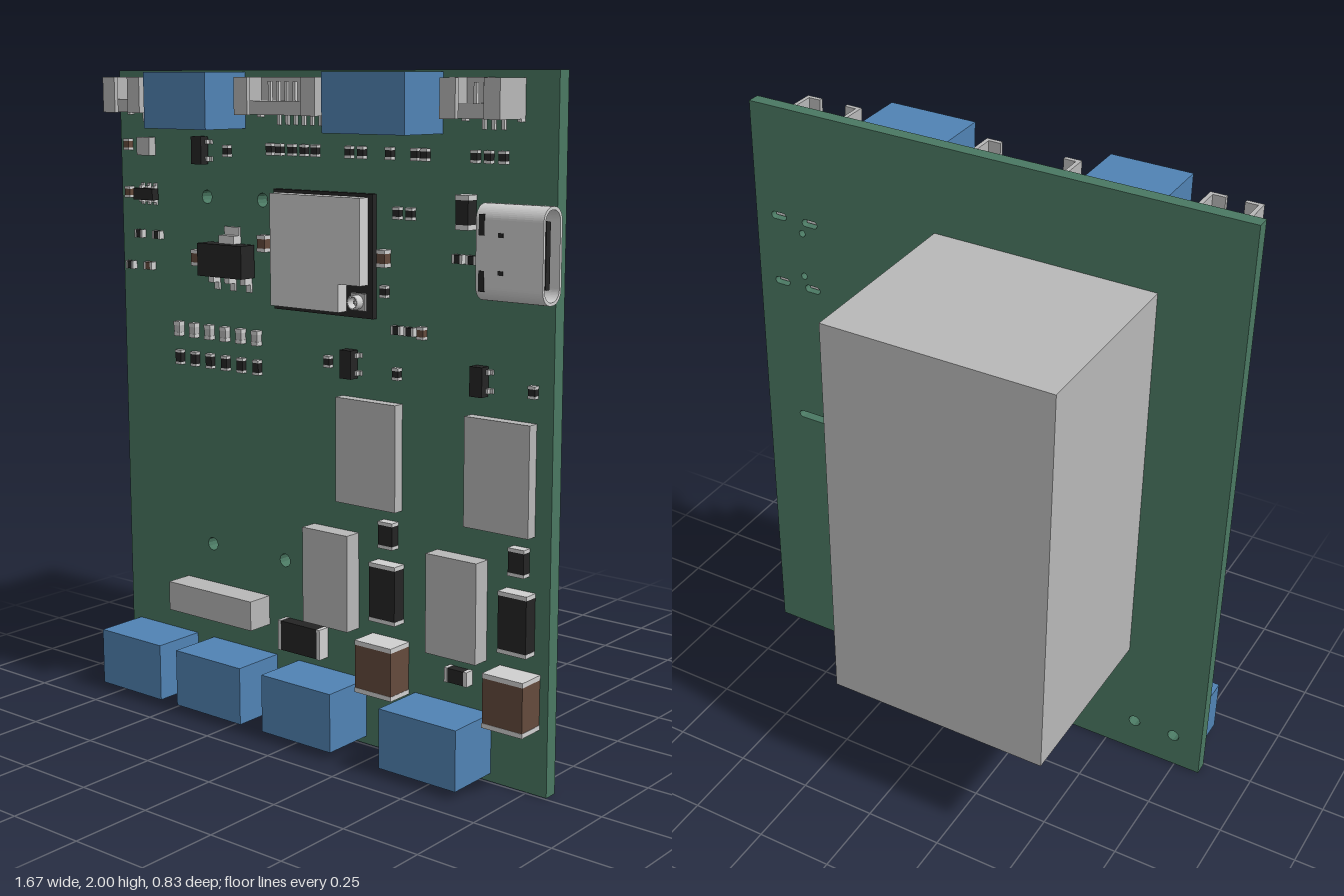
import * as THREE from 'three';

const mat = (name, color) => {
  const m = new THREE.MeshStandardMaterial({ color });
  m.name = name;
  return m;
};

export function createModel() {
  const root = new THREE.Group();
  root.name = 'circuitBoard';
  const green = mat('boardGreen', 0x4a7862);
  const blue = mat('terminalBlue', 0x5083b4);
  const gray = mat('plainGray', 0xb8b8b8);
  const silver = mat('metalSilver', 0xd0d0d0);
  const black = mat('packageBlack', 0x242424);
  const brown = mat('ceramicBrown', 0x644a3c);
  const Z = 0.243; // front face of the board
  const BACK = 0.2;

  const add = (name, geo, m, parent = root) => {
    const mesh = new THREE.Mesh(geo, m);
    mesh.name = name;
    parent.add(mesh);
    return mesh;
  };
  // box from its limits
  const box = (name, x0, x1, y0, y1, z0, z1, m, parent) => {
    const g = new THREE.BoxGeometry(x1 - x0, y1 - y0, z1 - z0);
    g.translate((x0 + x1) / 2, (y0 + y1) / 2, (z0 + z1) / 2);
    return add(name, g, m, parent);
  };
  const group = (name, x = 0, y = 0) => {
    const g = new THREE.Group();
    g.name = name;
    g.position.set(x, y, 0);
    root.add(g);
    return g;
  };
  const roundRect = (C, w, h, r, x = 0, y = 0) => {
    const s = new C();
    const a = w / 2 - r, b = h / 2 - r;
    s.absarc(x + a, y + b, r, 0, Math.PI / 2);
    s.absarc(x - a, y + b, r, Math.PI / 2, Math.PI);
    s.absarc(x - a, y - b, r, Math.PI, Math.PI * 1.5);
    s.absarc(x + a, y - b, r, Math.PI * 1.5, Math.PI * 2);
    s.closePath();
    return s;
  };

  // Board with mounting, terminal and slot holes
  const outline = new THREE.Shape([
    [-0.836, 0], [0.815, 0], [0.815, 2], [-0.836, 2],
  ].map(([x, y]) => new THREE.Vector2(x, y)));
  const terminals = [[-0.8, -0.535], [-0.463, -0.19], [-0.1, 0.17], [0.353, 0.625]];
  const hole = (x, y, r) => outline.holes.push(new THREE.Path().absarc(x, y, r, 0, Math.PI * 2, true));
  const slot = (x, y, w, h) => outline.holes.push(roundRect(THREE.Path, w, h, h * 0.49, x, y));
  [[-0.46, 1.618], [-0.23, 1.618], [-0.46, 0.516], [-0.153, 0.516]].forEach(([x, y]) => hole(x, y, 0.021));
  terminals.forEach(([a, b]) => [-0.07, 0.07].forEach((d) => hole((a + b) / 2 + d, 0.12, 0.02)));
  for (const y of [1.405, 1.635]) {
    slot(0.73, y, 0.055, 0.024);
    slot(0.615, y, 0.055, 0.024);
  }
  [1.445, 1.595].forEach((y) => hole(0.645, y, 0.011));
  [0.168, 0.625].forEach((x) => slot(x, 0.915, 0.135, 0.025));
  const boardGeo = new THREE.ExtrudeGeometry(outline, { depth: Z - BACK, bevelEnabled: false, curveSegments: 6 });
  boardGeo.translate(0, 0, BACK);
  add('board', boardGeo, green);

  // Large block on the back
  box('rearBlock', -0.56, 0.165, 0.415, 1.72, -0.415, BACK, gray);

  // Blue terminal blocks
  terminals.forEach(([a, b]) => box('bottomTerminal', a, b, 0.025, 0.205, Z, 0.415, blue));
  [[-0.55, -0.295], [0.15, 0.44]].forEach(([a, b]) => box('topTerminal', a, b, 1.828, 1.995, Z, 0.415, blue));

  // Plain grey packages
  [[0.08, 0.302], [0.545, 0.762]].forEach(([a, b]) => box('largeChip', a, b, 0.745, 1.06, Z, 0.277, gray));
  [[-0.034, 0.14], [0.43, 0.606]].forEach(([a, b]) => box('tallChip', a, b, 0.358, 0.653, Z, 0.298, gray));
  box('headerStrip', -0.574, -0.22, 0.297, 0.39, Z, 0.33, gray);
  box('smallSensor', -0.738, -0.682, 1.738, 1.794, Z, 0.27, gray);

  // Two-terminal part: body with metal end caps along its long side
  const passive = (name, x, y, w, h, t, m, cap = 0.008) => {
    const g = group(name, x, y);
    const vertical = h > w;
    const L = (vertical ? h : w) / 2, S = (vertical ? w : h) / 2;
    const part = (n, a, b, s, top, mm) => (vertical
      ? box(n, -s, s, a, b, Z, top, mm, g)
      : box(n, a, b, -s, s, Z, top, mm, g));
    part('body', -L + cap, L - cap, S - 0.001, Z + t - 0.001, m);
    part('endCap', -L, -L + cap, S, Z + t, silver);
    part('endCap', L - cap, L, S, Z + t, silver);
  };
  [0.262, 0.72].forEach((x) => {
    passive('bulkCapacitor', x, 0.275, 0.136, 0.16, 0.087, brown, 0.014);
    passive('powerDiode', x, 0.497, 0.096, 0.178, 0.045, black, 0.012);
    passive('gateResistor', x, 0.67, 0.054, 0.08, 0.03, black, 0.01);
  });
  passive('senseResistor', -0.066, 0.288, 0.168, 0.095, 0.04, black, 0.012);
  passive('fuse', 0.519, 0.297, 0.08, 0.044, 0.03, black, 0.012);
  passive('clampDiode', 0.534, 1.62, 0.044, 0.095, 0.04, black, 0.014);

  // Small resistors and capacitors
  const upright = [[-0.365, 1.76], [0.243, 1.38], [0.29, 1.605], [0.336, 1.605],
    [0.032, 1.157], [0.288, 1.147], [0.754, 1.147]];
  [-0.188, -0.151, -0.103, -0.056, -0.013, 0.114, 0.161, 0.262, 0.352, 0.386, 0.556, 0.6, 0.648]
    .forEach((x) => upright.push([x, 1.77]));
  upright.forEach(([x, y]) => passive('resistor', x, y, 0.024, 0.035, 0.018, black));
  [[-0.75, 1.49], [-0.67, 1.49], [-0.794, 1.388], [0.29, 1.273], [0.336, 1.273], [0.503, 1.49], [0.55, 1.49]]
    .forEach(([x, y]) => passive('resistor', x, y, 0.034, 0.026, 0.018, black, 0.007));
  [[-0.794, 1.77], [-0.794, 1.62], [0.378, 1.273]]
    .forEach(([x, y]) => passive('capacitor', x, y, 0.025, 0.036, 0.02, brown));
  passive('capacitor', -0.709, 1.39, 0.036, 0.025, 0.02, brown);
  [[-0.492, 1.43], [-0.214, 1.49], [0.243, 1.475]]
    .forEach(([x, y]) => passive('capacitor', x, y, 0.032, 0.05, 0.028, brown, 0.011));
  for (let i = 0; i < 6; i++) {
    const x = -0.582 + i * 0.066;
    passive('rowResistor', x, 1.109, 0.026, 0.046, 0.018, black);
    passive('rowLamp', x, 1.2, 0.026, 0.046, 0.022, gray, 0.012);
  }

  // Transistor packages with bent legs: pins are [x, y, half width, half height]
  const leaded = (name, x, y, w, h, top, pins) => {
    const g = group(name, x, y);
    box('body', -w / 2, w / 2, -h / 2, h / 2, Z + 0.006, top, black, g);
    pins.forEach(([px, py, a, b]) => {
      const out = Math.abs(px) > w / 2 ? [Math.sign(px), 0] : [0, Math.sign(py)];
      box('foot', px - a, px + a, py - b, py + b, Z, Z + 0.007, silver, g);
      const k = 0.5; // raised shoulder next to the body
      const sx = px - out[0] * a * k, sy = py - out[1] * b * k;
      const sa = out[0] ? a * k : a, sb = out[1] ? b * k : b;
      box('shoulder', sx - sa, sx + sa, sy - sb, sy + sb, Z + 0.007, (Z + top) / 2, silver, g);
    });
  };
  leaded('regulator', -0.352, 1.432, 0.182, 0.1, 0.308,
    [[0, 0.075, 0.031, 0.025], [-0.066, -0.072, 0.01, 0.024], [0, -0.072, 0.01, 0.024], [0.066, -0.072, 0.01, 0.024]]);
  const threeLegs = [[-0.028, 0, 0.008, 0.007], [0.028, 0.026, 0.008, 0.007], [0.028, -0.026, 0.008, 0.007]];
  [[0.12, 1.16], [0.584, 1.16], [-0.468, 1.76]]
    .forEach(([x, y]) => leaded('transistor', x, y, 0.042, 0.084, 0.28, threeLegs));
  const sixLegs = [];
  for (const x of [-0.028, 0, 0.028]) for (const y of [-0.026, 0.026]) sixLegs.push([x, y, 0.006, 0.008]);
  leaded('protectionChip', -0.71, 1.617, 0.085, 0.036, 0.275, sixLegs);

  // Radio module: dark base, notched metal shield, coaxial socket
  box('moduleBase', -0.17, 0.207, 1.298, 1.655, Z, 0.26, black);
  const shield = new THREE.Shape([
    [-0.152, 1.313], [0.11, 1.313], [0.11, 1.395], [0.19, 1.395], [0.19, 1.645], [-0.152, 1.645],
  ].map(([x, y]) => new THREE.Vector2(x, y)));
  const shieldGeo = new THREE.ExtrudeGeometry(shield, { depth: 0.038, bevelEnabled: false });
  shieldGeo.translate(0, 0, 0.26);
  add('moduleShield', shieldGeo, silver);
  const coax = group('coaxSocket', 0.158, 1.345);
  box('coaxBase', -0.027, 0.027, -0.025, 0.025, 0.26, 0.268, gray, coax);
  const ring = [[0.017, 0], [0.021, 0], [0.021, 0.024], [0.015, 0.024], [0.015, 0]]
    .map(([r, y]) => new THREE.Vector2(r, y));
  const ringMesh = add('coaxRing', new THREE.LatheGeometry(ring, 16).rotateX(Math.PI / 2), silver, coax);
  ringMesh.position.z = 0.268;
  box('coaxPin', -0.004, 0.004, -0.004, 0.004, 0.268, 0.285, silver, coax);

  // Side port: rounded metal shell open towards +x
  const port = group('sidePort', 0, 1.522);
  const sideways = (name, shape, x0, x1, m) => {
    const g = new THREE.ExtrudeGeometry(shape, { depth: x1 - x0, bevelEnabled: false, curveSegments: 6 });
    g.rotateY(Math.PI / 2).translate(x0, 0, 0.295);
    return add(name, g, m, port);
  };
  const shell = roundRect(THREE.Shape, 0.088, 0.26, 0.04);
  shell.holes.push(roundRect(THREE.Path, 0.07, 0.242, 0.032));
  sideways('portShell', shell, 0.622, 0.836, silver);
  sideways('portCore', roundRect(THREE.Shape, 0.072, 0.244, 0.033), 0.624, 0.72, black);
  sideways('portTongue', roundRect(THREE.Shape, 0.02, 0.18, 0.004), 0.72, 0.822, black);
  for (const s of [-1, 1]) {
    box('portSlot', 0.632, 0.65, s * 0.075 - 0.028, s * 0.075 + 0.028, 0.336, 0.3405, black, port);
    box('portDimple', 0.694, 0.71, s * 0.05 - 0.006, s * 0.05 + 0.006, 0.336, 0.3405, black, port);
    for (const x of [0.615, 0.73]) {
      box('portLeg', x - 0.02, x + 0.02, s * 0.115 - 0.007, s * 0.115 + 0.007, 0.215, 0.285, silver, port);
    }
  }
  for (let i = 0; i < 12; i++) {
    const y = -0.094 + i * 0.017;
    box('portPin', 0.608, 0.626, y - 0.004, y + 0.004, Z, 0.252, silver, port);
  }

  // Top wire connectors: open trays with a notched front wall and contact pins
  const tray = (x0, x1, count) => {
    const g = group('wireConnector');
    const lip = 0.052, y0 = 1.872, y1 = 1.98, top = 0.362, xc = (x0 + x1) / 2;
    box('floor', x0, x1, y0, y1, Z, 0.256, gray, g);
    box('rearWall', x0 + 0.012, x1 - 0.012, y0, 1.912, 0.256, 0.318, gray, g);
    for (const [a, b, c] of [[x0, x0 + 0.013, x0 + lip], [x1 - 0.013, x1, x1 - lip]]) {
      box('sideWall', a, b, y0, y1, 0.256, top, gray, g);
      box('frontLip', Math.min(c, b), Math.max(c, a), y0, y1, top - 0.014, top, gray, g);
      box('solderTab', a, b, y0 - 0.008, y0, Z, 0.262, silver, g);
    }
    for (let i = 0; i < count; i++) {
      const x = xc + (i - (count - 1) / 2) * 0.032;
      box('contact', x - 0.005, x + 0.005, 1.912, 1.968, 0.281, 0.291, silver, g);
      box('solderPin', x - 0.005, x + 0.005, 1.842, y0, Z, 0.252, silver, g);
    }
  };
  tray(-0.785, -0.625, 2);
  tray(-0.23, 0.08, 6);
  tray(0.515, 0.71, 3);

  return root;
}
